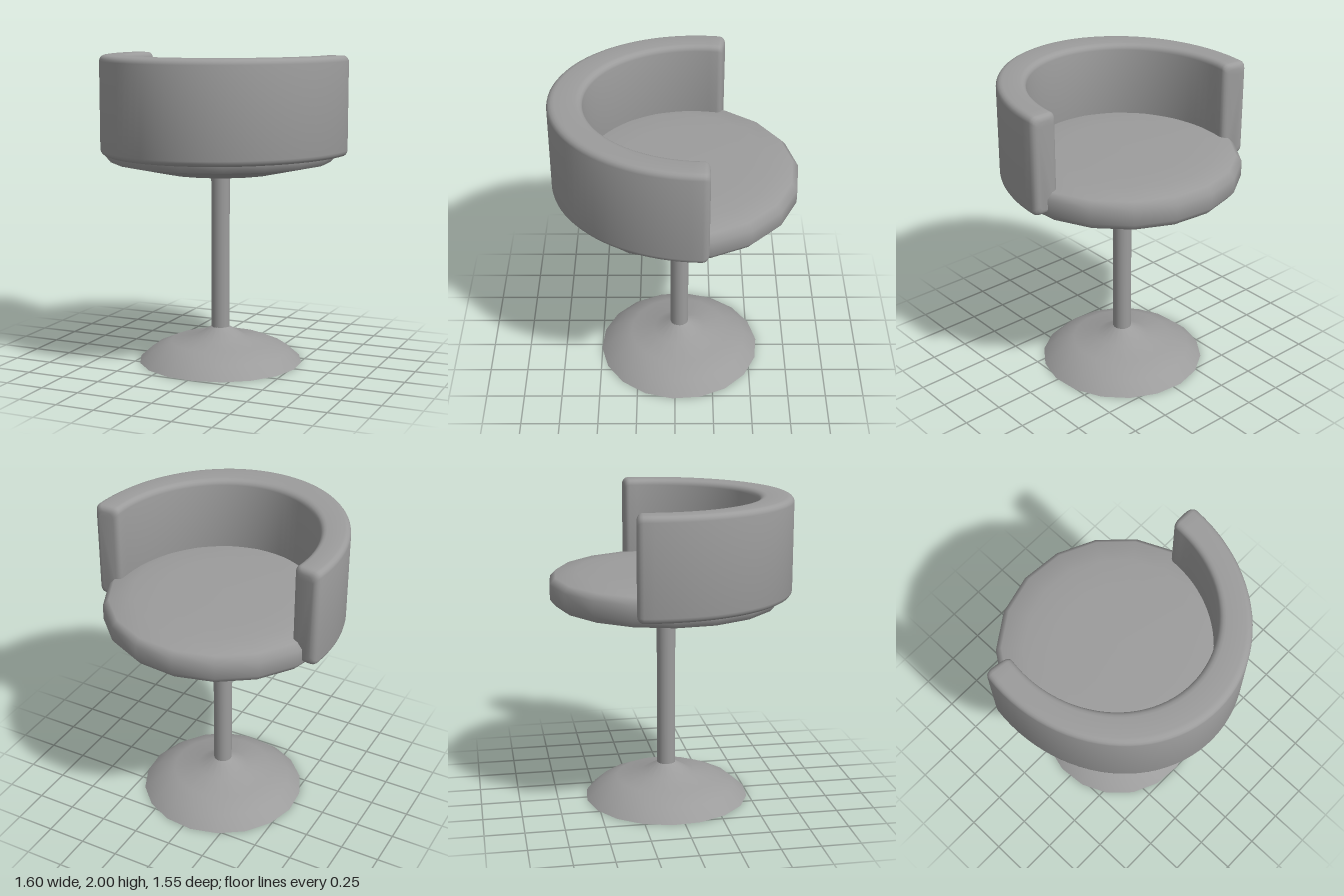
import * as THREE from 'three';
import { toCreasedNormals } from 'three/addons/utils/BufferGeometryUtils.js';

const SIDES = 18;
const material = new THREE.MeshStandardMaterial({ color: 0x9c9c9c });
const rad = THREE.MathUtils.degToRad;

function add(group, name, geometry) {
  const mesh = new THREE.Mesh(geometry, material);
  mesh.name = name;
  group.add(mesh);
  return mesh;
}

// Turned part from [radius, height] pairs, listed bottom to top
function turned(profile) {
  const points = profile.map(([r, y]) => new THREE.Vector2(r, y));
  return new THREE.LatheGeometry(points, SIDES, rad(9.6));
}

// Rounded rectangle section in (radius, height), anticlockwise, shrunk by inset
function section(inset) {
  const w = 0.085 - inset, h = 0.315 - inset, corner = 0.036, steps = 4;
  const loop = [];
  for (let q = 0; q < 4; q++) {
    const sx = q === 0 || q === 3 ? 1 : -1, sy = q < 2 ? 1 : -1;
    for (let k = 0; k <= steps; k++) {
      const a = (q + k / steps) * Math.PI / 2;
      loop.push([
        0.715 + sx * (w - corner) + corner * Math.cos(a),
        1.685 + sy * (h - corner) + corner * Math.sin(a),
      ]);
    }
  }
  return loop;
}

// Padded wrap-around back: sections swept along an oval arc with rounded ends
function backrest() {
  const end = rad(97), round = 0.036, steps = 48;
  const stations = [];
  for (let k = 0; k < 4; k++) {
    const a = (k / 4) * Math.PI / 2;
    stations.push([-end + (round / 0.8) * (1 - Math.cos(a)), round * (1 - Math.sin(a))]);
  }
  const body = end - round / 0.8;
  const mirrored = stations.map(([a, inset]) => [-a, inset]).reverse();
  for (let i = 0; i <= steps; i++) stations.push([-body + (2 * body * i) / steps, 0]);
  stations.push(...mirrored);

  const positions = [], index = [];
  const n = section(0).length;
  stations.forEach(([angle, inset], i) => {
    for (const [r, y] of section(inset)) {
      // The outer side sweeps slightly less, which squares off the ends
      const a = angle * (1 - 0.05 * (r - 0.715));
      positions.push(r * Math.sin(a), y, -0.13 + (1.276 * r - 0.089) * Math.cos(a));
    }
    if (i === 0) return;
    for (let j = 0; j < n; j++) {
      const p = (i - 1) * n + j, q = (i - 1) * n + (j + 1) % n;
      index.push(p, p + n, q + n, p, q + n, q);
    }
  });
  // Flat end caps
  const last = (stations.length - 1) * n;
  for (let j = 1; j < n - 1; j++) {
    index.push(0, j, j + 1, last, last + j + 1, last + j);
  }
  const geometry = new THREE.BufferGeometry();
  geometry.setAttribute('position', new THREE.Float32BufferAttribute(positions, 3));
  geometry.setIndex(index);
  return toCreasedNormals(geometry, rad(40));
}

export function createModel() {
  const chair = new THREE.Group();
  chair.name = 'swivelChair';
  chair.position.set(-0.01, 0, -0.03);
  chair.rotation.y = rad(-4.8);

  // Flared foot and its flat underside
  add(chair, 'base', turned([[0.535, 0], [0.45, 0.075], [0.328, 0.13], [0.172, 0.155], [0.058, 0.225]]));
  add(chair, 'baseUnderside', turned([[0, 0], [0.535, 0]]));

  // Column
  const column = add(chair, 'column', new THREE.CylinderGeometry(0.06, 0.06, 1.07, SIDES));
  column.position.y = 0.715;

  // Seat: shallow dished pan below a rounded cushion
  add(chair, 'seatPan', turned([[0, 1.225], [0.1, 1.228], [0.39, 1.255], [0.71, 1.325]]));
  add(chair, 'seatCushion', turned([
    [0.71, 1.325], [0.747, 1.37], [0.747, 1.465], [0.71, 1.505],
    [0.57, 1.525], [0.4, 1.535], [0, 1.54],
  ]));

  add(chair, 'backrest', backrest());

  const model = new THREE.Group();
  model.name = 'model';
  model.add(chair);
  return model;
}
